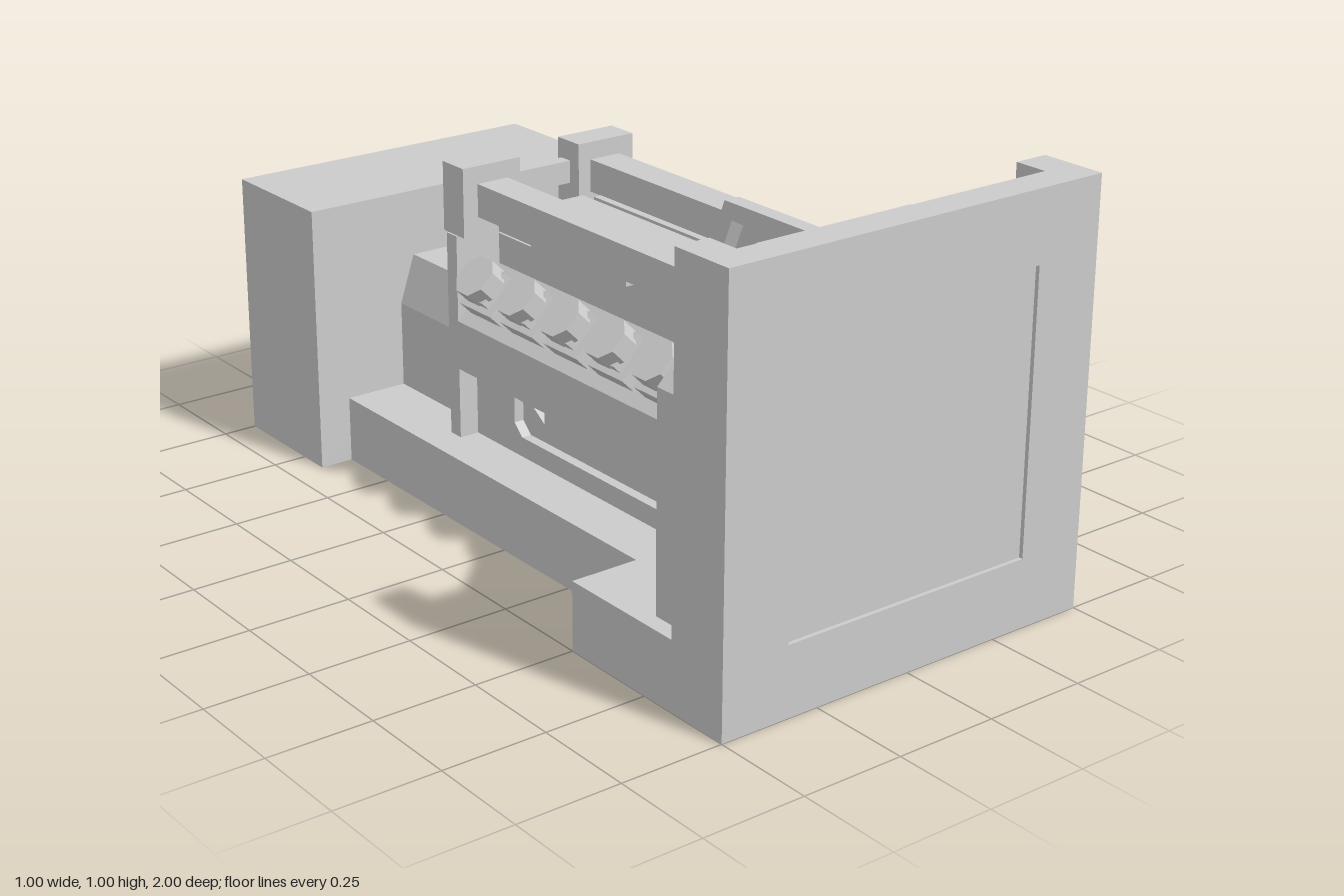
import * as THREE from 'three';

const material = new THREE.MeshStandardMaterial({ color: 0xcccccc, flatShading: true });

export function createModel() {
  const model = new THREE.Group();
  model.name = 'generatorSet';

  const add = (name, geometry, parent = model) => {
    const mesh = new THREE.Mesh(geometry, material);
    mesh.name = name;
    parent.add(mesh);
    return mesh;
  };

  // Box given by its limits on each axis
  const box = (name, x0, x1, y0, y1, z0, z1, parent = model) => {
    const g = new THREE.BoxGeometry(x1 - x0, y1 - y0, z1 - z0);
    g.translate((x0 + x1) / 2, (y0 + y1) / 2, (z0 + z1) / 2);
    return add(name, g, parent);
  };

  const points = (list) => list.map(([x, y]) => new THREE.Vector2(x, y));
  const rect = (x0, x1, y0, y1) => [[x0, y0], [x1, y0], [x1, y1], [x0, y1]];
  // Right half of an outline, bottom to top, mirrored to a closed outline
  const mirrored = (half) => [...half, ...half.map(([x, y]) => [-x, y]).reverse()];

  const extrude = (outline, depth, holes = []) => {
    const shape = new THREE.Shape(points(outline));
    shape.holes = holes.map((h) => new THREE.Path(points(h)));
    return new THREE.ExtrudeGeometry(shape, { depth, bevelEnabled: false });
  };
  const alongZ = (name, outline, z0, z1, holes, parent = model) =>
    add(name, extrude(outline, z1 - z0, holes).translate(0, 0, z0), parent);
  // Outline points are [z, y]
  const alongX = (name, outline, x0, x1, holes = [], parent = model) => {
    const flip = (list) => list.map(([z, y]) => [-z, y]);
    const g = extrude(flip(outline), x1 - x0, holes.map(flip));
    return add(name, g.rotateY(Math.PI / 2).translate(x0, 0, 0), parent);
  };

  // Skid base and control cabinet
  box('baseFront', -0.5, 0.5, 0, 0.165, 0.5, 0.99);
  box('baseRail', -0.33, 0.33, 0, 0.165, -0.67, 0.5);
  box('rearCabinet', -0.415, 0.415, 0, 0.665, -1, -0.665);

  // Radiator with a sunken core
  alongZ('radiatorFrame', rect(-0.5, 0.5, 0, 1), 0.98, 1, [rect(-0.33, 0.33, 0.167, 0.833)]);
  box('radiatorCore', -0.485, 0.485, 0, 1, 0.93, 0.99);
  alongZ('radiatorBackFrame', rect(-0.485, 0.485, 0, 1), 0.92, 0.93, [rect(-0.33, 0.33, 0.167, 0.833)]);

  // Alternator with bevelled shoulders
  alongZ('alternator', mirrored([[0.17, 0.16], [0.17, 0.38], [0.13, 0.5]]), -0.67, -0.33);

  // Fan shroud: arch with a set-back panel
  const arch = mirrored([[0.46, 0.16], [0.46, 0.67], [0.21, 0.92]]);
  const opening = mirrored([[0.375, 0.17], [0.375, 0.636], [0.175, 0.836]]);
  alongZ('shroudArch', arch, 0.735, 0.815, [opening]);
  alongZ('shroudPanel', opening, 0.79, 0.835);

  // Engine block, crankcase and flywheel housing
  alongZ('engineBlock', mirrored([
    [0.25, 0.34], [0.25, 0.46], [0.13, 0.58], [0.13, 0.655], [0.105, 0.655],
  ]), -0.29, 0.71);
  box('crankcase', -0.2, 0.2, 0.16, 0.345, -0.29, 0.71);
  box('flywheelHousing', -0.25, 0.25, 0.16, 0.67, -0.33, -0.29);

  // Bevelled intake cover between the cylinder banks
  const cover = new THREE.BoxGeometry(0.21, 0.09, 0.97).translate(0, 0.685, 0.235);
  const p = cover.attributes.position;
  for (let i = 0; i < p.count; i++) {
    if (p.getY(i) < 0.7) continue;
    p.setX(i, Math.sign(p.getX(i)) * 0.06);
    if (p.getZ(i) < 0) p.setZ(i, -0.215);
  }
  add('intakeCover', cover);

  // Breather duct from the cover to the shroud
  alongX('intakeDuct', [
    [0.735, 0.85], [0.735, 0.89], [0.405, 0.89], [0.345, 0.745], [0.385, 0.745], [0.43, 0.85],
  ], -0.02, 0.02);
  box('ductFlange', -0.03, 0.03, 0.84, 0.9, 0.705, 0.735);
  box('ductFoot', -0.04, 0.04, 0.725, 0.76, 0.33, 0.41);
  box('rearCrossPipe', -0.09, 0.09, 0.735, 0.79, -0.335, -0.3);

  // Everything that appears on both sides
  const buildSide = (name, side) => {
    const g = new THREE.Group();
    g.name = name;
    g.scale.x = side;
    model.add(g);

    // Radiator side column with three sunken panels
    box('columnCore', 0.415, 0.488, 0, 1, 0.838, 0.99, g);
    alongX('columnFrame', rect(0.838, 1, 0, 1), 0.485, 0.5, [
      rect(0.858, 0.982, 0.19, 0.415),
      rect(0.858, 0.982, 0.455, 0.79),
      rect(0.858, 0.982, 0.835, 0.98),
    ], g);

    // Exhaust rail, manifold and rear turbo box
    box('exhaustRail', 0.12, 0.205, 0.715, 0.795, -0.27, 0.735, g);
    box('turboBox', 0.085, 0.245, 0.67, 0.838, -0.348, -0.265, g);
    box('manifoldFront', 0.1, 0.175, 0.685, 0.716, 0.355, 0.71, g);
    box('manifoldRear', 0.1, 0.175, 0.685, 0.716, -0.225, 0.26, g);
    box('manifoldWall', 0.1, 0.145, 0.64, 0.69, -0.14, 0.71, g);
    box('turboSupport', 0.11, 0.22, 0.6, 0.68, -0.33, -0.29, g);

    // Six tilted cylinder heads
    for (let i = 0; i < 6; i++) {
      const head = new THREE.Group();
      head.name = 'cylinderHead';
      head.position.set(0.185, 0.525, -0.205 + i * 0.1665);
      head.rotation.z = -Math.PI / 4;
      g.add(head);
      box('headBase', -0.06, 0.06, -0.02, 0.045, -0.063, 0.063, head);
      box('headNeck', -0.045, 0.045, 0.04, 0.07, -0.042, 0.042, head);
      const c = 0.027;
      const cap = extrude([
        [0.05, -0.05 + c], [0.05, 0.05 - c], [0.05 - c, 0.05], [-0.05 + c, 0.05],
        [-0.05, 0.05 - c], [-0.05, -0.05 + c], [-0.05 + c, -0.05], [0.05 - c, -0.05],
      ], 0.045);
      add('rockerCover', cap.rotateX(-Math.PI / 2).translate(0, 0.06, 0), head);
    }

    // Coolant and oil lines along the crankcase
    alongX('coolantLine', [
      [0.66, 0.275], [0.66, 0.335], [0.04, 0.335], [0.02, 0.31], [0.04, 0.305],
      [0.02, 0.275],
    ].slice(0, 3).concat([[0.04, 0.305], [-0.02, 0.345], [-0.045, 0.345], [0.03, 0.275]]), 0.19, 0.24, [], g);
    alongX('oilLine', [
      [0.71, 0.21], [0.71, 0.232], [-0.07, 0.232], [-0.1, 0.26], [-0.1, 0.345],
      [-0.122, 0.345], [-0.122, 0.25], [-0.08, 0.21],
    ], 0.19, 0.225, [], g);
    box('lineFlange', 0.19, 0.26, 0.25, 0.335, 0.65, 0.735, g);
    alongX('coolantElbow', [
      [0.735, 0.405], [0.735, 0.435], [0.665, 0.375], [0.665, 0.3], [0.685, 0.3], [0.685, 0.365],
    ], 0.245, 0.275, [], g);
  };
  buildSide('leftSide', 1);
  buildSide('rightSide', -1);

  return model;
}
